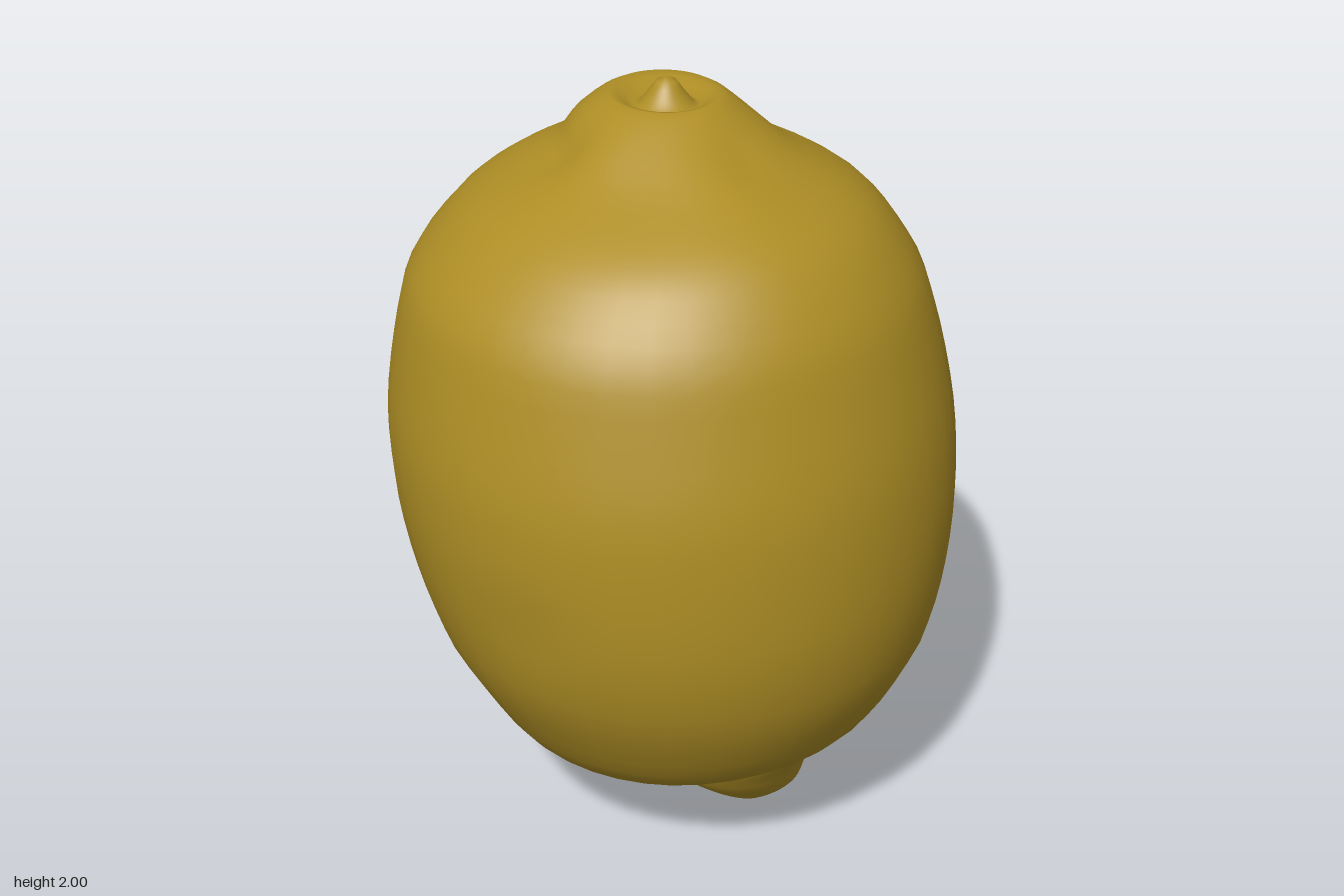
import * as THREE from 'three';

// Cross-sections from bottom to top: y, xMin, xMax, zMin, zMax
const BODY = [
  [0.165, -0.17, 0.17, -0.16, 0.17],
  [0.20, -0.28, 0.28, -0.25, 0.28],
  [0.25, -0.37, 0.39, -0.34, 0.38],
  [0.30, -0.44, 0.47, -0.42, 0.455],
  [0.40, -0.51, 0.565, -0.51, 0.56],
  [0.60, -0.62, 0.665, -0.63, 0.665],
  [0.80, -0.68, 0.70, -0.67, 0.71],
  [1.00, -0.715, 0.715, -0.70, 0.715],
  [1.20, -0.72, 0.70, -0.71, 0.70],
  [1.40, -0.69, 0.66, -0.685, 0.65],
  [1.56, -0.645, 0.605, -0.64, 0.60],
  [1.69, -0.535, 0.515, -0.575, 0.51],
  [1.76, -0.43, 0.425, -0.495, 0.42],
  [1.83, -0.29, 0.295, -0.38, 0.27],
  [1.90, -0.22, 0.21, -0.325, 0.13],
  [1.95, -0.13, 0.14, -0.27, 0.03],
  [1.93, -0.08, 0.08, -0.17, 0.00],
  [1.95, -0.055, 0.055, -0.14, -0.03],
  [1.99, -0.025, 0.025, -0.11, -0.06],
];
const TIP = [
  [0.005, 0.13, 0.21, 0.10, 0.18],
  [0.03, 0.08, 0.27, 0.06, 0.21],
  [0.07, 0.02, 0.315, 0.00, 0.25],
  [0.12, -0.04, 0.33, -0.06, 0.29],
  [0.17, -0.07, 0.34, -0.09, 0.32],
  [0.22, -0.08, 0.355, -0.10, 0.35],
  [0.27, -0.08, 0.385, -0.10, 0.37],
  [0.30, -0.06, 0.36, -0.08, 0.35],
];
const SIDES = 40;
const STEPS = 3;

// Soft dents in the peel: centre, radius, depth
const DENTS = [
  { at: new THREE.Vector3(-0.25, 1.87, -0.05), radius: 0.08, depth: 0.02 },
  { at: new THREE.Vector3(0.12, 1.86, 0.15), radius: 0.06, depth: 0.012 },
  { at: new THREE.Vector3(-0.52, 0.85, 0.48), radius: 0.12, depth: 0.012 },
];
const CORE = new THREE.Vector3(0, 1, 0);

// Smooth closed skin through a stack of oval cross-sections
function skin(sections, bottomPoint, topPoint) {
  const curve = (toPoint) =>
    new THREE.CatmullRomCurve3(sections.map(toPoint), false, 'catmullrom', 0.45);
  const centres = curve(([y, x0, x1, z0, z1]) => new THREE.Vector3((x0 + x1) / 2, y, (z0 + z1) / 2));
  const radii = curve(([, x0, x1, z0, z1]) => new THREE.Vector3((x1 - x0) / 2, 0, (z1 - z0) / 2));

  const rings = (sections.length - 1) * STEPS;
  const positions = [];
  const indices = [];

  for (let i = 0; i <= rings; i++) {
    const c = centres.getPoint(i / rings);
    const r = radii.getPoint(i / rings);
    // Gentle folds around the shoulder below the crown
    const fold = 0.025 * Math.exp(-(((c.y - 1.83) / 0.07) ** 2));
    for (let j = 0; j < SIDES; j++) {
      const a = (j / SIDES) * Math.PI * 2;
      const k = 1 + fold * Math.sin(a * 5 + 0.6);
      const p = new THREE.Vector3(c.x + r.x * k * Math.cos(a), c.y, c.z + r.z * k * Math.sin(a));
      for (const d of DENTS) {
        const amount = d.depth * Math.exp(-p.distanceToSquared(d.at) / (d.radius * d.radius));
        p.addScaledVector(CORE.clone().sub(p).normalize(), amount);
      }
      positions.push(p.x, p.y, p.z);
    }
  }

  // Faces between neighbouring rings
  for (let i = 0; i < rings; i++) {
    for (let j = 0; j < SIDES; j++) {
      const n = (j + 1) % SIDES;
      const a = i * SIDES + j, b = a + SIDES;
      const c = i * SIDES + n, d = c + SIDES;
      indices.push(a, b, c, c, b, d);
    }
  }

  // Closed ends
  const bottom = positions.length / 3;
  const last = rings * SIDES;
  positions.push(...bottomPoint, ...topPoint);
  for (let j = 0; j < SIDES; j++) {
    const n = (j + 1) % SIDES;
    indices.push(bottom, j, n, bottom + 1, last + n, last + j);
  }

  const geometry = new THREE.BufferGeometry();
  geometry.setAttribute('position', new THREE.Float32BufferAttribute(positions, 3));
  geometry.setIndex(indices);
  geometry.computeVertexNormals();
  return geometry;
}

export function createModel() {
  const group = new THREE.Group();
  group.name = 'lemon';
  const peel = new THREE.MeshStandardMaterial({ color: 0xae8e25 });
  peel.name = 'lemon peel yellow';

  // Round fruit with the stem crown on top
  const body = new THREE.Mesh(skin(BODY, [0.02, 0.14, 0.02], [0, 2, -0.085]), peel);
  body.name = 'body';

  // Blunt off-centre tip underneath
  const tip = new THREE.Mesh(skin(TIP, [0.17, 0, 0.14], [0.15, 0.32, 0.13]), peel);
  tip.name = 'tip';

  group.add(body, tip);
  return group;
}
